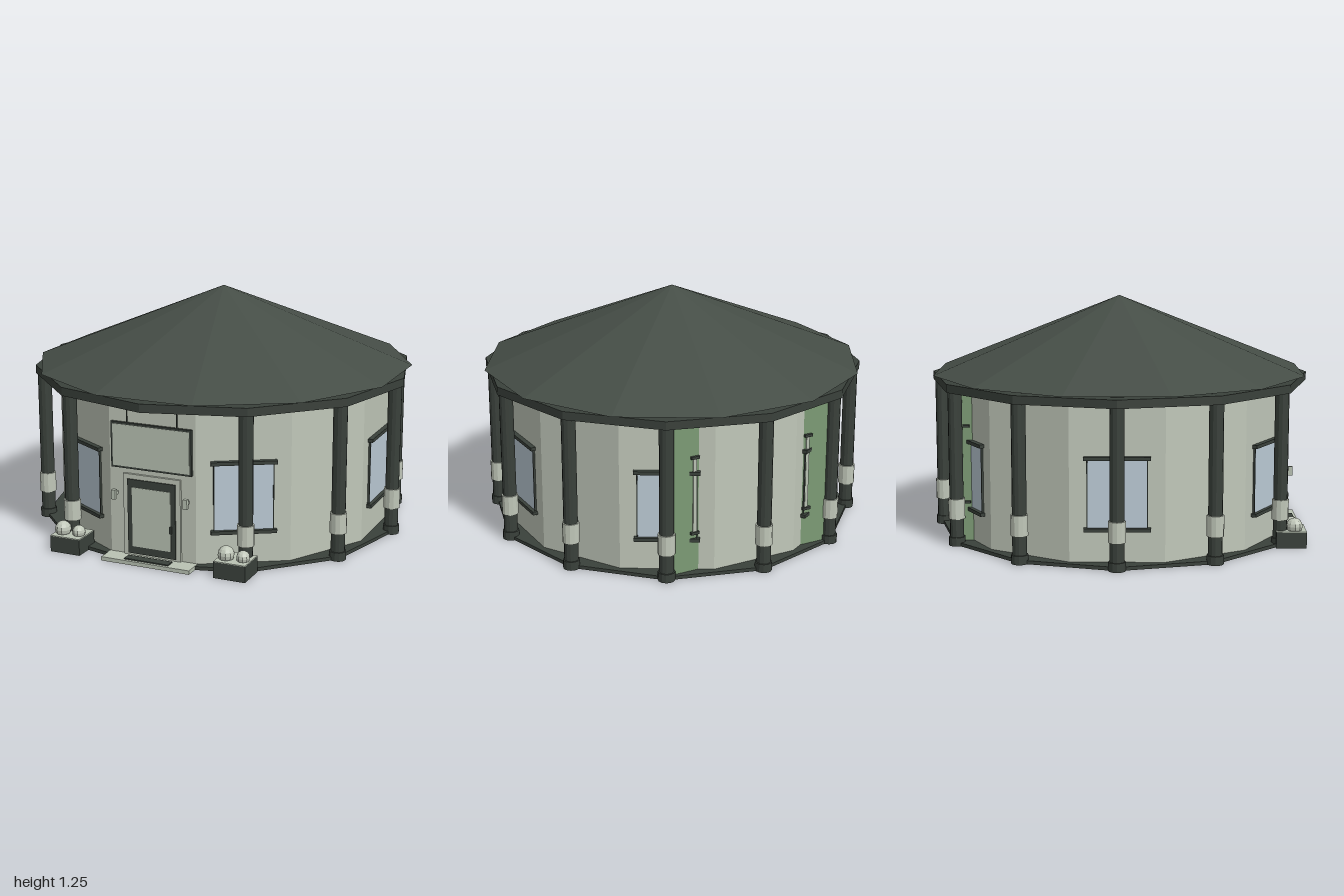
import * as THREE from 'three';

const mat = (name, color, opts = {}) => {
  const m = new THREE.MeshStandardMaterial({ color, flatShading: true, ...opts });
  m.name = name;
  return m;
};

export function createModel() {
  const root = new THREE.Group();
  root.name = 'roundPavilion';

  const wall = mat('pale wall', 0xc0c7b9);
  const roofMat = mat('roof slate', 0x454d46);
  const trim = mat('dark trim', 0x3a413b);
  const glass = mat('window glass', 0xbccbd6);
  const green = mat('green panel', 0x7c9a75);
  const panel = mat('light panel', 0xb9c2b3);

  const add = (parent, name, geo, material, x = 0, y = 0, z = 0) => {
    const m = new THREE.Mesh(geo, material);
    m.name = name;
    m.position.set(x, y, z);
    parent.add(m);
    return m;
  };
  // Box given by its centre x, bottom and top heights, centre z and sizes
  const box = (parent, name, material, x, y0, y1, z, w, d) =>
    add(parent, name, new THREE.BoxGeometry(w, y1 - y0, d), material, x, (y0 + y1) / 2, z);
  const prism = (parent, name, material, r0, r1, y0, y1, sides, start = 0) =>
    add(parent, name, new THREE.CylinderGeometry(r1, r0, y1 - y0, sides, 1, false, start), material, 0, (y0 + y1) / 2, 0);
  // Group turned about the centre so that its +z looks outward
  const spoke = (name, degrees) => {
    const g = new THREE.Group();
    g.name = name;
    g.rotation.y = THREE.MathUtils.degToRad(degrees);
    root.add(g);
    return g;
  };

  // Floor, twelve-sided wall, eaves beam and roof
  const half = Math.PI / 12;
  prism(root, 'floorSlab', trim, 0.965, 0.965, 0, 0.018, 12);
  prism(root, 'wall', wall, 0.9, 0.9, 0.018, 0.8, 12, half);
  prism(root, 'roof', roofMat, 1.0, 0, 0.845, 1.245, 12, half);
  prism(root, 'ceiling', trim, 0.92, 0.92, 0.8, 0.846, 12);

  const ring = (r, hole) => {
    const pts = (rad) => Array.from({ length: 12 }, (_, i) =>
      new THREE.Vector2(rad * Math.sin(i * Math.PI / 6), rad * Math.cos(i * Math.PI / 6)));
    const s = new THREE.Shape(pts(r));
    s.holes.push(new THREE.Path(pts(hole)));
    return s;
  };
  const beamGeo = new THREE.ExtrudeGeometry(ring(1.0, 0.91), { depth: 0.043, bevelEnabled: false });
  beamGeo.rotateX(-Math.PI / 2);
  add(root, 'eavesBeam', beamGeo, trim, 0, 0.793, 0);

  // Columns all round, leaving the entrance free
  for (let i = 1; i < 12; i++) {
    const g = spoke('column', i * 30);
    const post = (name, m, r, y0, y1) => {
      prism(g, name, m, r, r, y0, y1, 12).position.z = 0.955;
    };
    post('columnShaft', trim, 0.036, 0, 0.8);
    post('columnBase', trim, 0.043, 0, 0.045);
    post('columnSleeve', wall, 0.043, 0.14, 0.245);
  }

  // Windows
  for (const a of [-150, -90, -30, 30, 90, 150]) {
    const g = spoke('window', a);
    box(g, 'windowPane', glass, 0, 0.19, 0.53, 0.872, 0.29, 0.008);
    for (const s of [-1, 1]) box(g, 'windowJamb', trim, s * 0.146, 0.19, 0.53, 0.874, 0.005, 0.012);
    for (const y of [0.182, 0.533]) box(g, 'windowRail', trim, 0, y - 0.009, y + 0.009, 0.88, 0.325, 0.03);
  }

  // Entrance: step, surround, door, board and lamps
  const entry = spoke('entrance', 0);
  box(entry, 'step', panel, 0, 0, 0.02, 0.91, 0.48, 0.12);
  box(entry, 'doorMat', trim, 0, 0.02, 0.026, 0.93, 0.24, 0.05);
  box(entry, 'doorSurround', wall, 0, 0.018, 0.44, 0.872, 0.31, 0.02);
  box(entry, 'doorFrame', trim, 0, 0.03, 0.415, 0.88, 0.26, 0.016);
  box(entry, 'doorLeaf', panel, 0, 0.068, 0.375, 0.886, 0.21, 0.008);
  box(entry, 'doorHandle', trim, 0.108, 0.165, 0.2, 0.893, 0.01, 0.015);
  box(entry, 'boardFrame', trim, 0, 0.468, 0.7, 0.878, 0.435, 0.016);
  box(entry, 'boardFace', panel, 0, 0.478, 0.69, 0.884, 0.415, 0.008);
  for (const s of [-1, 1]) {
    box(entry, 'boardHanger', trim, s * 0.135, 0.7, 0.793, 0.872, 0.004, 0.006);
    box(entry, 'lampArm', panel, s * 0.195, 0.325, 0.34, 0.885, 0.01, 0.04);
    box(entry, 'lamp', panel, s * 0.195, 0.308, 0.357, 0.905, 0.022, 0.022);
  }

  // Planters with round shrubs
  for (const x of [-0.452, 0.447]) {
    const g = new THREE.Group();
    g.name = 'planter';
    g.position.x = x;
    root.add(g);
    box(g, 'planterBox', trim, 0, 0, 0.082, 0.882, 0.165, 0.155);
    box(g, 'planterTop', panel, 0, 0.082, 0.086, 0.882, 0.165, 0.155);
    add(g, 'largeShrub', new THREE.SphereGeometry(0.042, 10, 8), wall, -0.041, 0.108, 0.9);
    add(g, 'smallShrub', new THREE.SphereGeometry(0.034, 10, 8), wall, 0.046, 0.102, 0.895);
  }

  // Rear green pillars with narrow slit windows
  for (const s of [-1, 1]) {
    const g = new THREE.Group();
    g.name = 'rearPillar';
    root.add(g);
    box(g, 'greenPillar', green, s * 0.375, 0.018, 0.793, -0.775, 0.15, 0.11);
    box(g, 'slitPane', panel, s * 0.325, 0.225, 0.61, -0.832, 0.018, 0.008);
    for (const y of [0.22, 0.615]) {
      box(g, 'slitRail', trim, s * 0.325, y - 0.007, y + 0.007, -0.835, 0.045, 0.018);
      box(g, 'sideRail', trim, s * 0.455, y - 0.006, y + 0.006, -0.775, 0.015, 0.035);
    }
  }

  return root;
}
